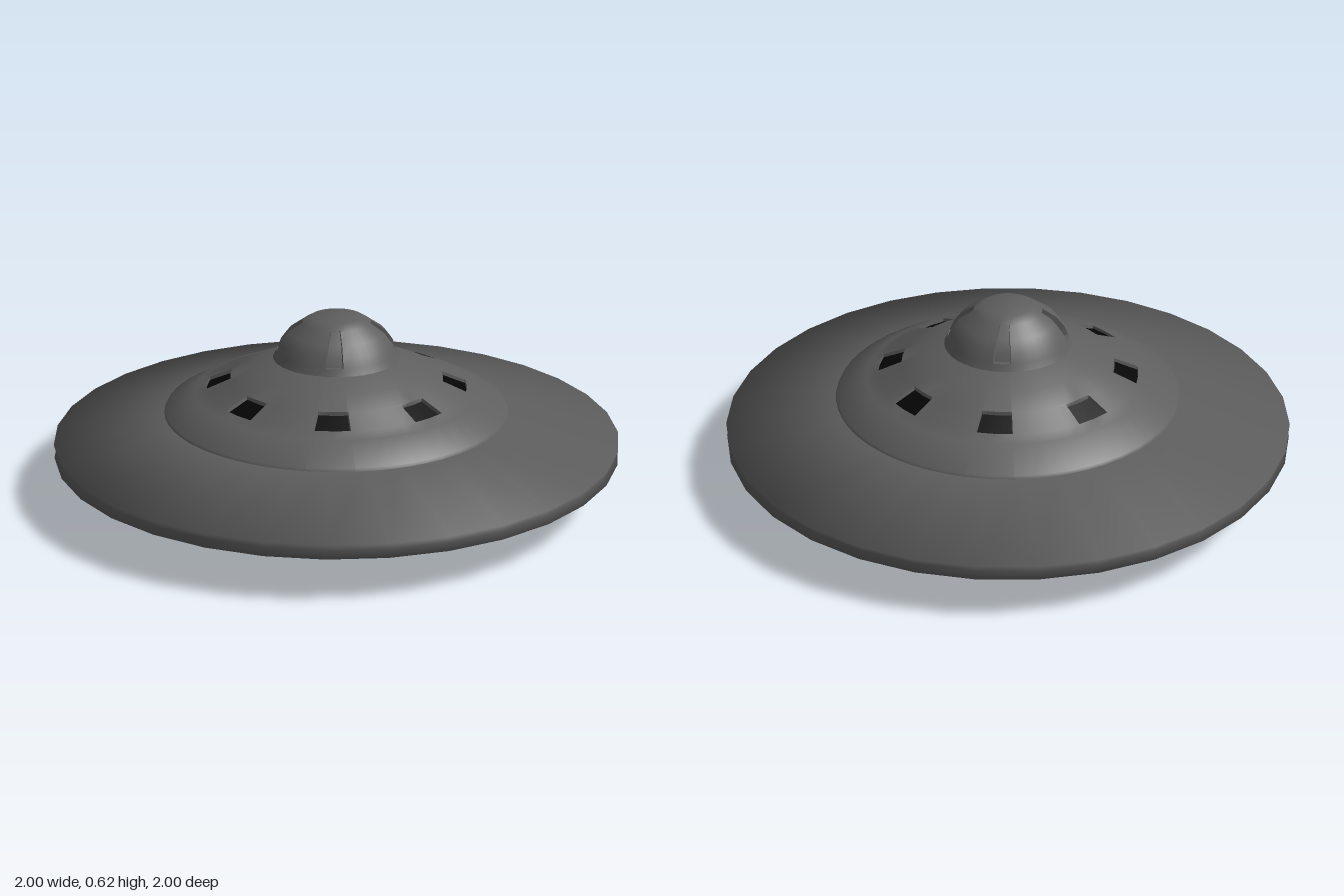
import * as THREE from 'three';
import { toCreasedNormals } from 'three/addons/utils/BufferGeometryUtils.js';

const TAU = Math.PI * 2;
const darkGrey = new THREE.MeshStandardMaterial({ color: 0x5e5e5e, side: THREE.DoubleSide });
const black = new THREE.MeshStandardMaterial({ color: 0x050505, side: THREE.DoubleSide });

// Sweeps rows of [radius, height] through the angles; dent(row, column) returns an optional [dr, dy].
function sweep(rows, angles, crease, dent = () => null) {
  const at = (i, j) => {
    const [dr, dy] = dent(i, j) || [0, 0];
    const r = rows[i][0] + dr;
    return [r * Math.sin(angles[j]), rows[i][1] + dy, r * Math.cos(angles[j])];
  };
  const pos = [];
  for (let i = 0; i < rows.length - 1; i++) {
    for (let j = 0; j < angles.length - 1; j++) {
      const a = at(i, j), b = at(i, j + 1), c = at(i + 1, j + 1), d = at(i + 1, j);
      if (rows[i][0] > 0) pos.push(...a, ...b, ...c);
      if (rows[i + 1][0] > 0) pos.push(...a, ...c, ...d);
    }
  }
  const g = new THREE.BufferGeometry();
  g.setAttribute('position', new THREE.Float32BufferAttribute(pos, 3));
  return toCreasedNormals(g, crease);
}

// A full circle with tight angle pairs at the edges of evenly spaced openings
function openingAngles(count, half, fill) {
  const angles = [], inside = [];
  const step = TAU / count;
  const add = (a, isIn) => { angles.push(a); inside.push(isIn); };
  for (let k = 0; k < count; k++) {
    const c = k * step;
    add(c - half, false);
    for (const f of [-1, 0, 1]) add(c + f * (half - 0.006), true);
    add(c + half, false);
    for (let f = 1; f < fill; f++) add(c + half + (step - 2 * half) * f / fill, false);
  }
  add(TAU - half, false);
  return { angles, inside };
}

// Revolved shell whose rows first..last sink by offset at each opening
function recessedShell(rows, count, half, fill, first, last, offset) {
  const { angles, inside } = openingAngles(count, half, fill);
  return sweep(rows, angles, 1, (i, j) => (inside[j] && i >= first && i <= last ? offset : null));
}

export function createModel() {
  const group = new THREE.Group();
  const add = (name, geometry, material, parent = group) => {
    const mesh = new THREE.Mesh(geometry, material);
    mesh.name = name;
    parent.add(mesh);
    return mesh;
  };

  // Dark panes, one per opening
  const panes = (name, rows, count, half) => {
    const set = new THREE.Group();
    set.name = name;
    group.add(set);
    const geometry = sweep(rows, [-half, 0, half], 1);
    for (let k = 0; k < count; k++) {
      add(name + 'Pane', geometry, black, set).rotation.y = k * TAU / count;
    }
  };

  // Disc hull, smooth all over: stepped drum below, notched rim, sloping top
  const circle = Array.from({ length: 33 }, (_, i) => i * TAU / 32);
  add('hull', sweep([
    [0.46, 0], [0.465, 0.03], [0.48, 0.075], [0.72, 0.095], [0.75, 0.138],
    [1, 0.152], [0.985, 0.175], [1, 0.2], [0.57, 0.268], [0.5, 0.275],
  ], circle, Math.PI), darkGrey);

  // Hollow belly with a ring of ports around the hub
  add('belly', recessedShell([
    [0, 0.165], [0.105, 0.16], [0.11, 0.158], [0.111, 0.158], [0.159, 0.147], [0.16, 0.147],
    [0.18, 0.14], [0.3, 0.1], [0.4, 0.05], [0.46, 0],
  ], 8, 0.18, 4, 3, 4, [0, 0.01]), darkGrey);
  panes('bellyPorts', [[0.111, 0.166], [0.159, 0.155]], 8, 0.172);

  // Upper shell with overhanging lip and eight sunken windows
  add('upperShell', recessedShell([
    [0.55, 0.268], [0.61, 0.283], [0.605, 0.293], [0.5, 0.35], [0.46, 0.367], [0.459, 0.368],
    [0.376, 0.402], [0.375, 0.403], [0.3, 0.437], [0.22, 0.475], [0.2, 0.48],
  ], 8, 0.137, 5, 5, 6, [0, -0.014]), darkGrey);
  panes('windows', [[0.459, 0.356], [0.376, 0.39]], 8, 0.131);

  // Cabin dome with four tapering grooves and a flat cap
  add('cabinDome', recessedShell([
    [0.23, 0.462], [0.22, 0.48], [0.212, 0.497], [0.211, 0.499], [0.198, 0.53], [0.17, 0.567],
    [0.122, 0.6], [0.12, 0.602], [0.09, 0.62], [0, 0.621],
  ], 4, 0.145, 8, 3, 6, [-0.02, -0.004]), darkGrey);

  return group;
}
